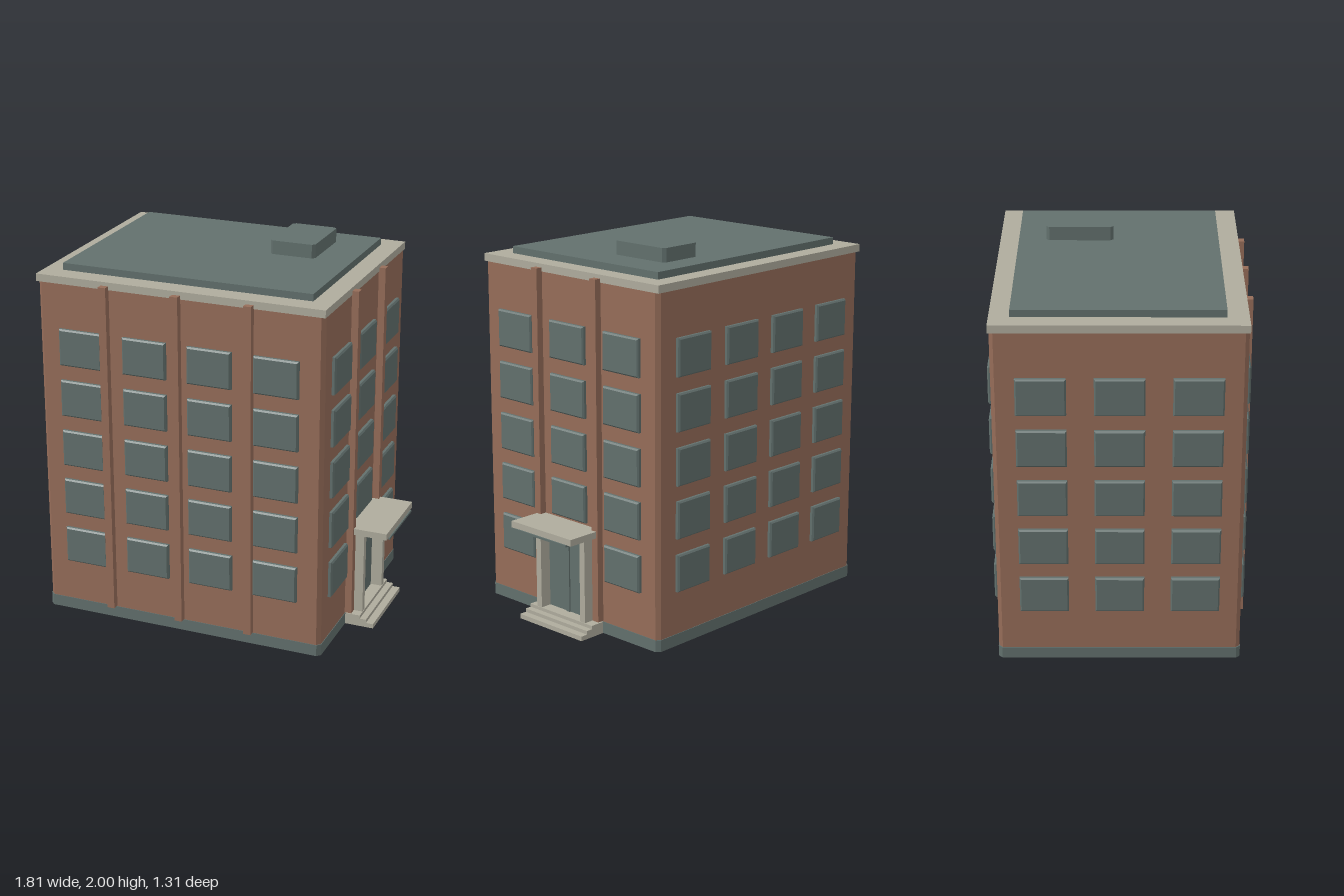
import * as THREE from 'three';

const material = (name, color) => {
  const m = new THREE.MeshStandardMaterial({ color });
  m.name = name;
  return m;
};

export function createModel() {
  const brick = material('brick', 0x966d59);
  const slate = material('slate', 0x62706d);
  const stone = material('stone', 0xafac9d);

  const model = new THREE.Group();
  model.name = 'apartmentBuilding';

  const add = (name, geometry, mat, parent = model) => {
    const mesh = new THREE.Mesh(geometry, mat);
    mesh.name = name;
    parent.add(mesh);
    return mesh;
  };

  const group = (name) => {
    const g = new THREE.Group();
    g.name = name;
    model.add(g);
    return g;
  };

  // Box given by its lower and upper limits on each axis
  const box = (name, [x0, x1], [y0, y1], [z0, z1], mat, parent) => {
    const mesh = add(name, new THREE.BoxGeometry(x1 - x0, y1 - y0, z1 - z0), mat, parent);
    mesh.position.set((x0 + x1) / 2, (y0 + y1) / 2, (z0 + z1) / 2);
    return mesh;
  };

  // Upright block whose four vertical edges are chamfered
  const chamferedBlock = (name, [x0, x1], [y0, y1], [z0, z1], c, mat) => {
    const w = (x1 - x0) / 2, d = (z1 - z0) / 2;
    const outline = [
      [w, -d + c], [w, d - c], [w - c, d], [-w + c, d],
      [-w, d - c], [-w, -d + c], [-w + c, -d], [w - c, -d],
    ].map(([x, y]) => new THREE.Vector2(x, y));
    const geometry = new THREE.ExtrudeGeometry(new THREE.Shape(outline), { depth: y1 - y0, bevelEnabled: false });
    geometry.rotateX(-Math.PI / 2);
    const mesh = add(name, geometry, mat);
    mesh.position.set((x0 + x1) / 2, y0, (z0 + z1) / 2);
  };

  // Main volume, plinth and cornice
  const X = [-0.88, 0.68], Z = [-0.632, 0.617];
  chamferedBlock('plinth', [-0.884, 0.683], [0, 0.063], [-0.635, 0.62], 0.02, slate);
  chamferedBlock('brickWalls', X, [0.063, 1.855], Z, 0.02, brick);
  box('cornice', [-0.887, 0.683], [1.85, 1.89], [-0.638, 0.621], stone);

  // Roof slab and rooftop unit
  box('roofSlab', [-0.787, 0.579], [1.89, 1.927], [-0.535, 0.512], slate);
  chamferedBlock('rooftopUnit', [0.134, 0.381], [1.927, 2], [-0.39, -0.04], 0.015, slate);

  // Window panel with a bevelled outer edge, facing +z
  const panel = (width, height) => {
    const depth = 0.032, inset = 0.008;
    let g = new THREE.BoxGeometry(width, height, depth, 1, 1, 2);
    const p = g.attributes.position;
    for (let i = 0; i < p.count; i++) {
      const z = p.getZ(i);
      if (z > 0.01) {
        p.setX(i, p.getX(i) - Math.sign(p.getX(i)) * inset);
        p.setY(i, p.getY(i) - Math.sign(p.getY(i)) * inset);
      } else if (Math.abs(z) < 0.001) p.setZ(i, depth / 2 - 0.008);
    }
    g = g.toNonIndexed();
    g.computeVertexNormals();
    return g.translate(0, 0, 0.006);
  };
  const longPanel = panel(0.24, 0.198);
  const shortPanel = panel(0.25, 0.198);

  // Five floors of windows on all four sides
  const floors = [0.392, 0.674, 0.952, 1.232, 1.512];
  const columns = [-0.642, -0.285, 0.072, 0.432];
  const bays = [0.38, -0.005, -0.39];
  const windows = group('windows');
  floors.forEach((y, floor) => {
    for (const x of columns) {
      add('frontWindow', longPanel, slate, windows).position.set(x, y, Z[1]);
      const back = add('backWindow', longPanel, slate, windows);
      back.position.set(x, y, Z[0]);
      back.rotation.y = Math.PI;
    }
    bays.forEach((z, bay) => {
      const left = add('endWindow', shortPanel, slate, windows);
      left.position.set(X[0], y, z);
      left.rotation.y = -Math.PI / 2;
      if (floor === 0 && bay === 1) return; // the entrance takes this place
      const right = add('entranceSideWindow', shortPanel, slate, windows);
      right.position.set(X[1], y, z);
      right.rotation.y = Math.PI / 2;
    });
  });

  // Brick pilasters on the front and on the entrance side
  const pilasters = group('pilasters');
  for (const x of [-0.5, -0.105, 0.288]) {
    box('frontPilaster', [x - 0.021, x + 0.021], [0.067, 1.87], [0.6, 0.655], brick, pilasters);
  }
  for (const z of [0.205, -0.219]) {
    box('sidePilaster', [0.66, 0.717], [0.067, 1.87], [z - 0.021, z + 0.021], brick, pilasters);
  }

  // Entrance: steps, double door, posts and canopy
  const entrance = group('entrance');
  [[0.84, 0, 0.025], [0.8, 0.025, 0.044], [0.765, 0.044, 0.062]].forEach(([x, y0, y1]) => {
    box('step', [0.67, x], [y0, y1], [-0.241, 0.224], stone, entrance);
  });
  box('leftDoor', [0.67, 0.7], [0.062, 0.515], [0.003, 0.142], slate, entrance);
  box('rightDoor', [0.67, 0.7], [0.062, 0.515], [-0.152, -0.013], slate, entrance);
  box('doorMullion', [0.67, 0.708], [0.062, 0.515], [-0.016, 0.006], slate, entrance);
  for (const z of [0.157, -0.17]) {
    box('canopyPost', [0.67, 0.762], [0.062, 0.52], [z - 0.018, z + 0.018], stone, entrance);
  }
  box('canopy', [0.67, 0.897], [0.525, 0.56], [-0.23, 0.213], stone, entrance);
  box('canopySoffit', [0.67, 0.904], [0.515, 0.526], [-0.198, 0.178], slate, entrance);

  return model;
}
